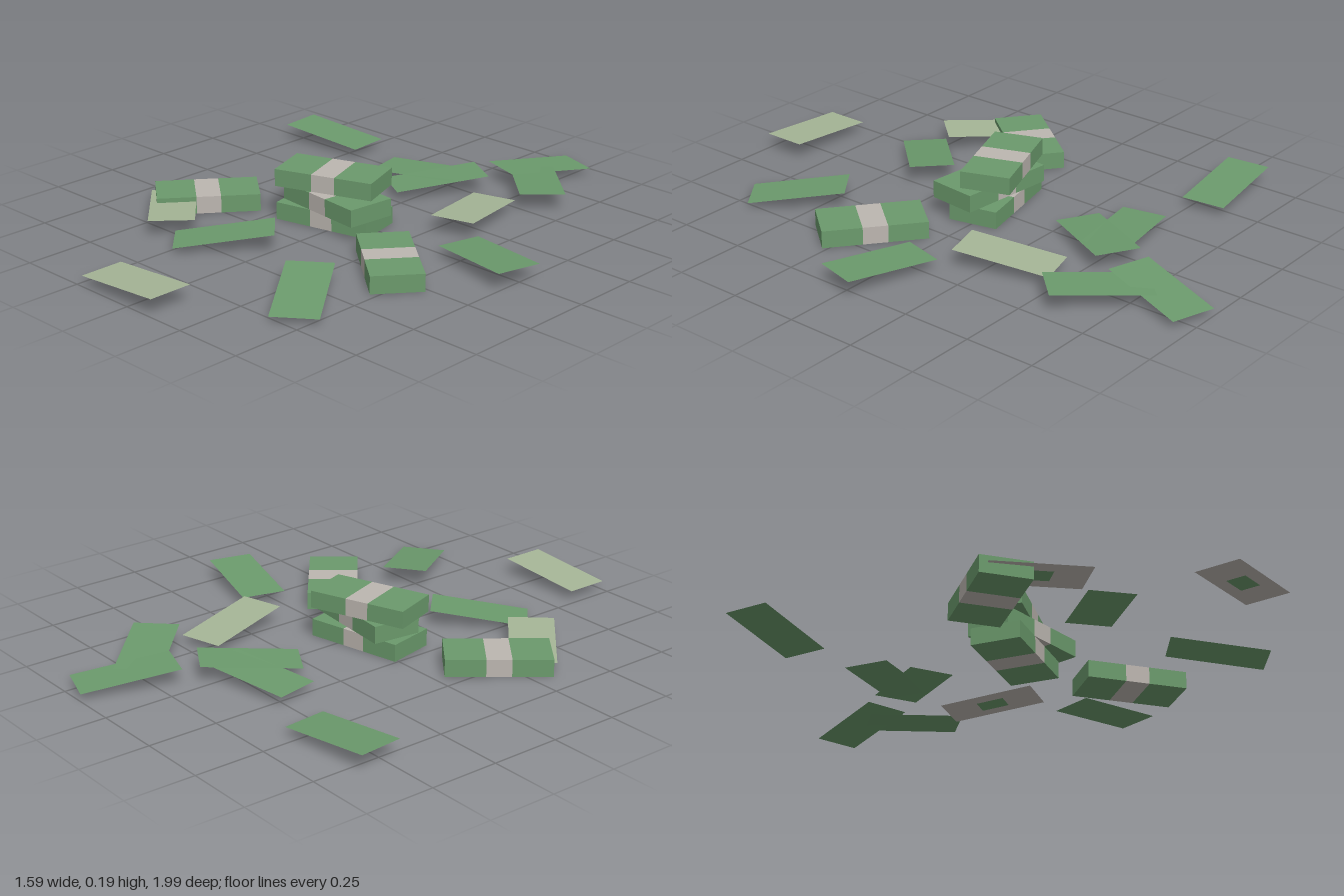
import * as THREE from 'three';

const material = (name, color, side = THREE.FrontSide) => {
  const m = new THREE.MeshStandardMaterial({ color, side });
  m.name = name;
  return m;
};

export function createModel() {
  const model = new THREE.Group();
  model.name = 'scatteredNotes';

  const green = material('noteGreen', 0x6b9a6c, THREE.DoubleSide);
  const pale = material('paleNoteGreen', 0xa5b596);
  const beige = material('paperBeige', 0xbcb6b0);

  const add = (parent, name, geometry, mat, x = 0, y = 0, z = 0) => {
    const mesh = new THREE.Mesh(geometry, mat);
    mesh.name = name;
    mesh.position.set(x, y, z);
    parent.add(mesh);
    return mesh;
  };

  // Bundles: two green ends with a flush paper band between them
  const L = 0.362, W = 0.178, H = 0.062, BAND = 0.086;
  const END = (L - BAND) / 2;
  const endGeo = new THREE.BoxGeometry(END, H, W);
  const bandGeo = new THREE.BoxGeometry(BAND, H, W);
  const bundles = [
    // x, z, turn, layer
    [0.39, 0.222, -0.68, 0],
    [-0.483, 0.235, 0.9, 0],
    [-0.048, 0.036, 0.22, 0],
    [-0.024, 0.048, -0.1, 1],
    [-0.065, 0.024, 0.35, 2],
  ];
  for (const [x, z, turn, layer] of bundles) {
    const bundle = new THREE.Group();
    bundle.name = 'bundle';
    bundle.position.set(x, H * (layer + 0.5), z);
    bundle.rotation.y = turn;
    for (const s of [-1, 1]) add(bundle, 'bundleEnd', endGeo, green, s * (BAND + END) / 2);
    add(bundle, 'paperBand', bandGeo, beige);
    model.add(bundle);
  }

  // Loose notes: single sheets, slightly tilted along their length
  const upGeo = new THREE.PlaneGeometry(0.342, 0.16).rotateX(-Math.PI / 2);
  const downGeo = new THREE.PlaneGeometry(0.342, 0.16).rotateX(Math.PI / 2);
  const patchGeo = new THREE.PlaneGeometry(0.1, 0.068).rotateX(Math.PI / 2);
  const notes = [
    // x, y, z, turn, tilt, turned over
    [0.296, 0.049, -0.3, -1.303, 0.09, true],
    [-0.622, 0.046, -0.54, 0.092, -0.08, false],
    [0.175, 0.042, -0.812, 1.254, -0.1, false],
    [0.288, 0.053, -0.655, -0.77, 0.06, false],
    [-0.1, 0.043, -0.474, 0.2, 0.06, false],
    [0, 0.049, -0.437, 1.04, 0.08, false],
    [0.607, 0.05, -0.013, -0.25, 0.07, false],
    [0.363, 0.043, 0.592, -0.927, -0.13, false],
    [-0.16, 0.042, 0.447, 0.797, 0.13, false],
    [-0.472, 0.047, 0.405, -0.74, 0.05, true],
    [-0.058, 0.047, 0.916, 0, 0.07, true],
  ];
  for (const [x, y, z, turn, tilt, over] of notes) {
    const note = new THREE.Group();
    note.name = 'looseNote';
    note.position.set(x, y, z);
    note.rotation.set(0, turn, tilt);
    if (over) {
      // Pale top, paper underside with a green centre patch
      add(note, 'noteTop', upGeo, pale);
      add(note, 'noteUnderside', downGeo, beige, 0, -0.001);
      add(note, 'notePatch', patchGeo, green, 0, -0.003);
    } else {
      add(note, 'noteSheet', upGeo, green);
    }
    model.add(note);
  }

  return model;
}
